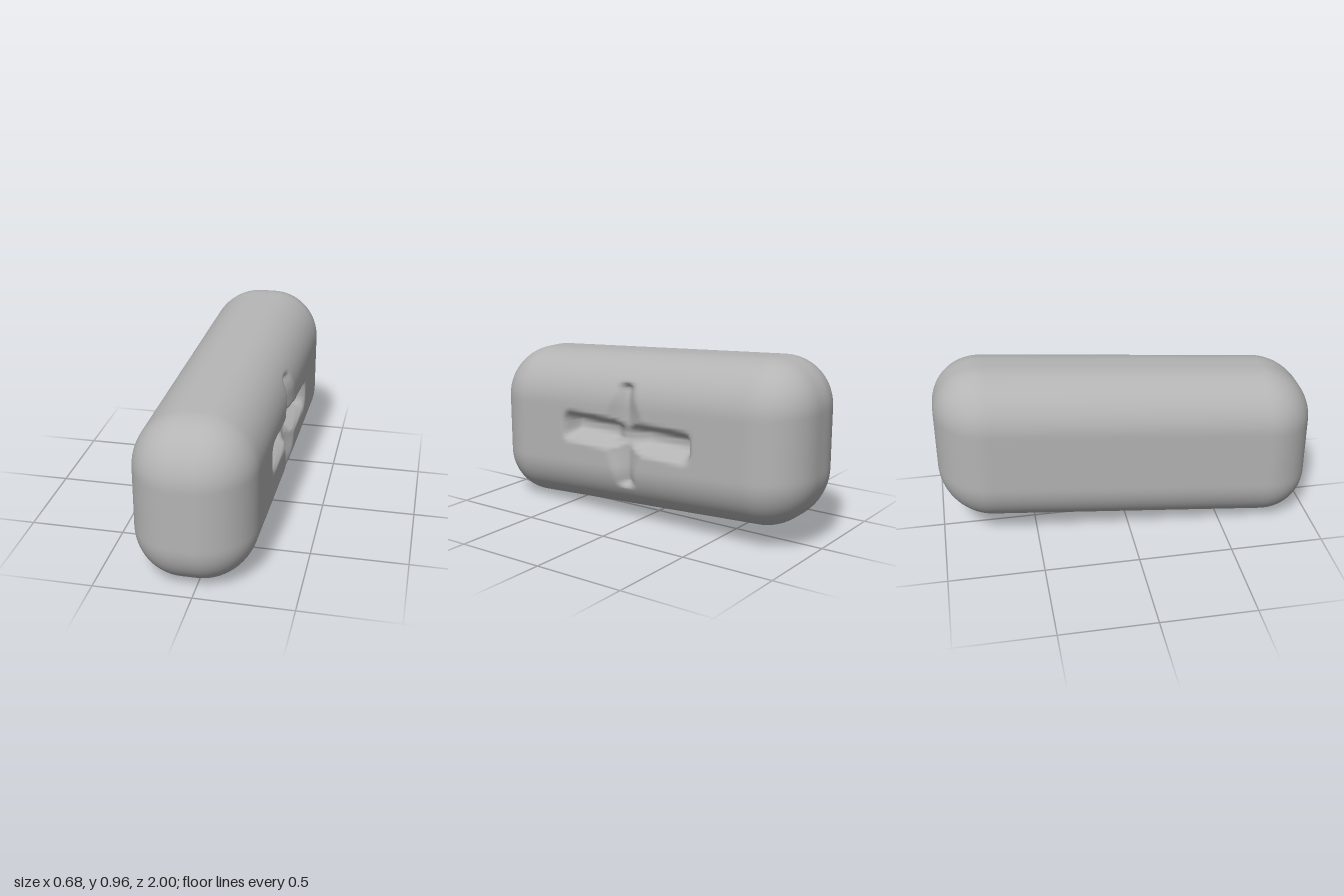
import * as THREE from 'three';
import { mergeVertices } from 'three/addons/utils/BufferGeometryUtils.js';

const HALF = new THREE.Vector3(0.308, 0.427, 1);
const RADIUS = 0.27;
const smooth = THREE.MathUtils.smoothstep;

// Depth of the cross-shaped groove in the left side at (y, z)
function grooveDepth(y, z) {
  const dy = Math.abs(y - 0.49), dz = Math.abs(z - 0.01);
  // upright: a shallow V that flares softly at its middle and stops abruptly at its ends
  const half = 0.07 + 0.06 * (1 - smooth(dy, 0.05, 0.25));
  const upright = 0.052 * Math.pow(Math.max(0, 1 - dz / half), 1.2) * (1 - smooth(dy, 0.25, 0.285));
  // crossbar: two deeper pits meeting at a low saddle
  const floor = 0.06 + 0.045 * smooth(dz, 0.02, 0.12);
  const bar = floor * (1 - smooth(dy, 0.025, 0.085)) * (1 - smooth(dz, 0.37, 0.435));
  return Math.max(upright, bar);
}

// Rounded block: grid points pushed onto a constant radius around an inner box
function bodyGeometry() {
  let geo = new THREE.BoxGeometry(HALF.x * 2, HALF.y * 2, HALF.z * 2, 24, 48, 110);
  geo.deleteAttribute('normal');
  geo.deleteAttribute('uv');
  geo = mergeVertices(geo, 1e-4);
  const pos = geo.attributes.position;
  const inner = HALF.clone().subScalar(RADIUS);
  const lower = inner.clone().negate();
  const p = new THREE.Vector3(), core = new THREE.Vector3();
  for (let i = 0; i < pos.count; i++) {
    p.fromBufferAttribute(pos, i);
    core.copy(p).clamp(lower, inner);
    p.sub(core).normalize().multiplyScalar(RADIUS).add(core);
    // slight slant along the length
    const y = p.y + 0.481 - 0.07 * p.z;
    let x = p.x - 0.044 * p.z;
    if (p.x > 0.15) x -= grooveDepth(y, p.z);
    pos.setXYZ(i, x, y, p.z);
  }
  geo.computeVertexNormals();
  return geo;
}

export function createModel() {
  const group = new THREE.Group();
  group.name = 'groovedBlock';
  const grey = new THREE.MeshStandardMaterial({ color: 0xb4b4b4 });
  grey.name = 'plain grey';
  const body = new THREE.Mesh(bodyGeometry(), grey);
  body.name = 'body';
  // rest on the ground and centre
  const box = new THREE.Box3().setFromObject(body);
  body.position.y = -box.min.y;
  group.add(body);
  return group;
}
